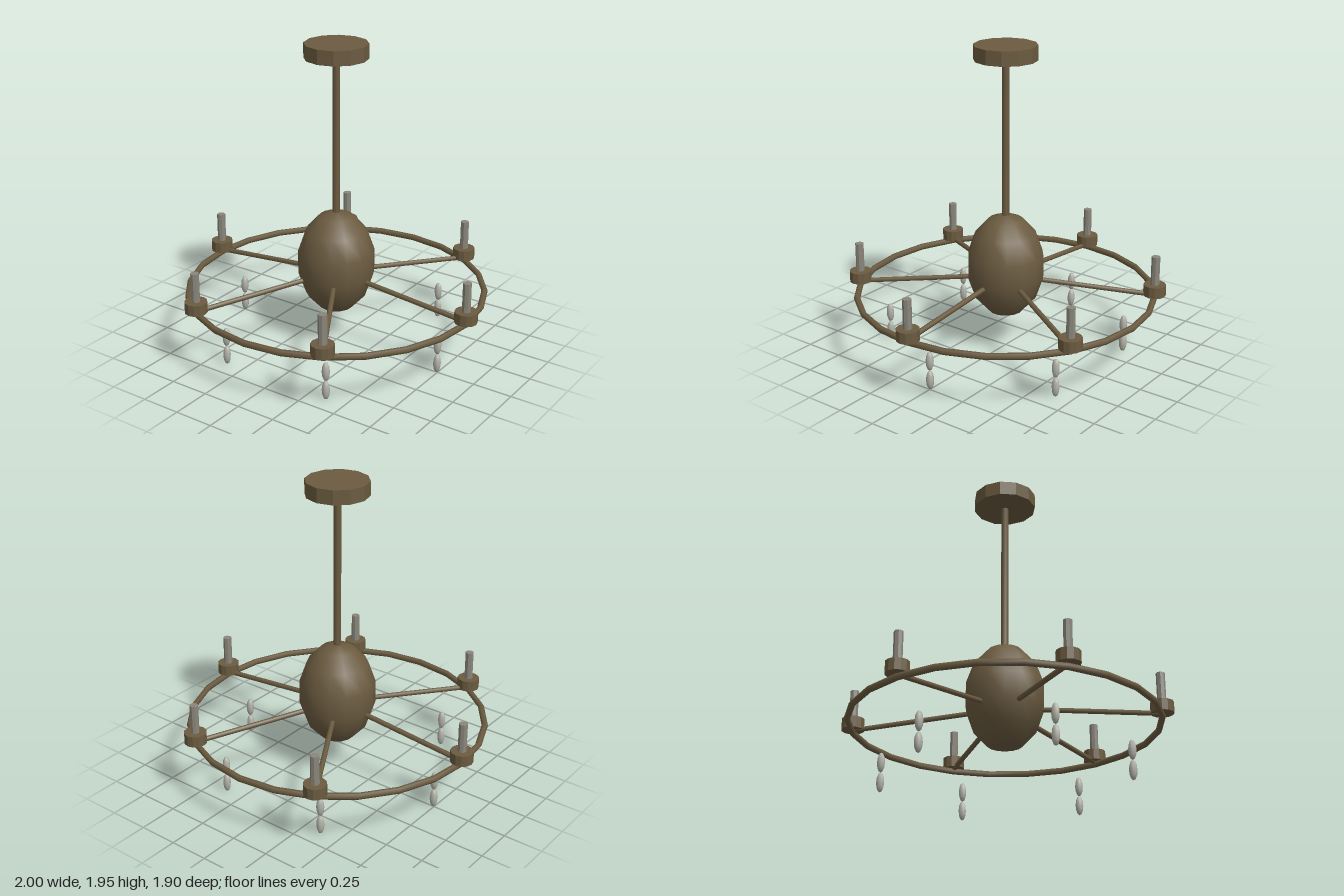
import * as THREE from 'three';
import { toCreasedNormals } from 'three/addons/utils/BufferGeometryUtils.js';

export function createModel() {
  const bronze = new THREE.MeshStandardMaterial({ color: 0x6b5b40 });
  bronze.name = 'bronze';
  const candleGrey = new THREE.MeshStandardMaterial({ color: 0x8a867b });
  candleGrey.name = 'candle grey';
  const crystalGrey = new THREE.MeshStandardMaterial({ color: 0xb2b2a8 });
  crystalGrey.name = 'crystal grey';

  const model = new THREE.Group();
  model.name = 'chandelier';

  function add(parent, name, geometry, material, x = 0, y = 0, z = 0) {
    const mesh = new THREE.Mesh(geometry, material);
    mesh.name = name;
    mesh.position.set(x, y, z);
    parent.add(mesh);
    return mesh;
  }
  const faceted = (geometry) => toCreasedNormals(geometry, 0.3);
  const smooth = (geometry) => toCreasedNormals(geometry, 1.1);

  // Ceiling plate and stem
  add(model, 'ceilingPlate', faceted(new THREE.CylinderGeometry(0.195, 0.195, 0.09, 12)), bronze, 0, 1.905, 0);
  add(model, 'stem', smooth(new THREE.CylinderGeometry(0.023, 0.023, 1.04, 8)), bronze, 0, 1.36, 0);

  // Egg-shaped body
  const body = new THREE.SphereGeometry(1, 14, 7);
  body.rotateY(Math.PI / 2);
  body.scale(0.245, 0.337, 0.245);
  add(model, 'body', body, bronze, 0, 0.555, 0);

  // Hoop under the cups
  const hoop = new THREE.TorusGeometry(0.93, 0.02, 6, 24);
  hoop.rotateX(Math.PI / 2);
  add(model, 'hoop', hoop, bronze, 0, 0.382, 0);

  // Shared shapes for the six branches
  const armStart = new THREE.Vector3(0.17, 0.468, 0);
  const armEnd = new THREE.Vector3(0.93, 0.398, 0);
  const armDir = armEnd.clone().sub(armStart);
  const armGeo = new THREE.CylinderGeometry(0.016, 0.016, armDir.length(), 8);
  const cupGeo = faceted(new THREE.CylinderGeometry(0.07, 0.07, 0.07, 12));
  const candleGeo = faceted(new THREE.CylinderGeometry(0.027, 0.027, 0.185, 8));
  const dropGeo = new THREE.SphereGeometry(1, 8, 6);
  dropGeo.scale(0.0245, 0.062, 0.0245);

  for (let i = 0; i < 6; i++) {
    const branch = new THREE.Group();
    branch.name = 'branch' + (i + 1);
    branch.rotation.y = (i * Math.PI) / 3;
    model.add(branch);

    const arm = add(branch, 'arm', armGeo, bronze);
    arm.position.lerpVectors(armStart, armEnd, 0.5);
    arm.quaternion.setFromUnitVectors(new THREE.Vector3(0, 1, 0), armDir.clone().normalize());

    add(branch, 'cup', cupGeo, bronze, 0.93, 0.433, 0);
    add(branch, 'candle', candleGeo, candleGrey, 0.93, 0.56, 0);

    // Pair of hanging crystal drops
    for (const y of [0.062, 0.185]) add(branch, 'crystalDrop', dropGeo, crystalGrey, 0.745, y, 0);
  }
  return model;
}
